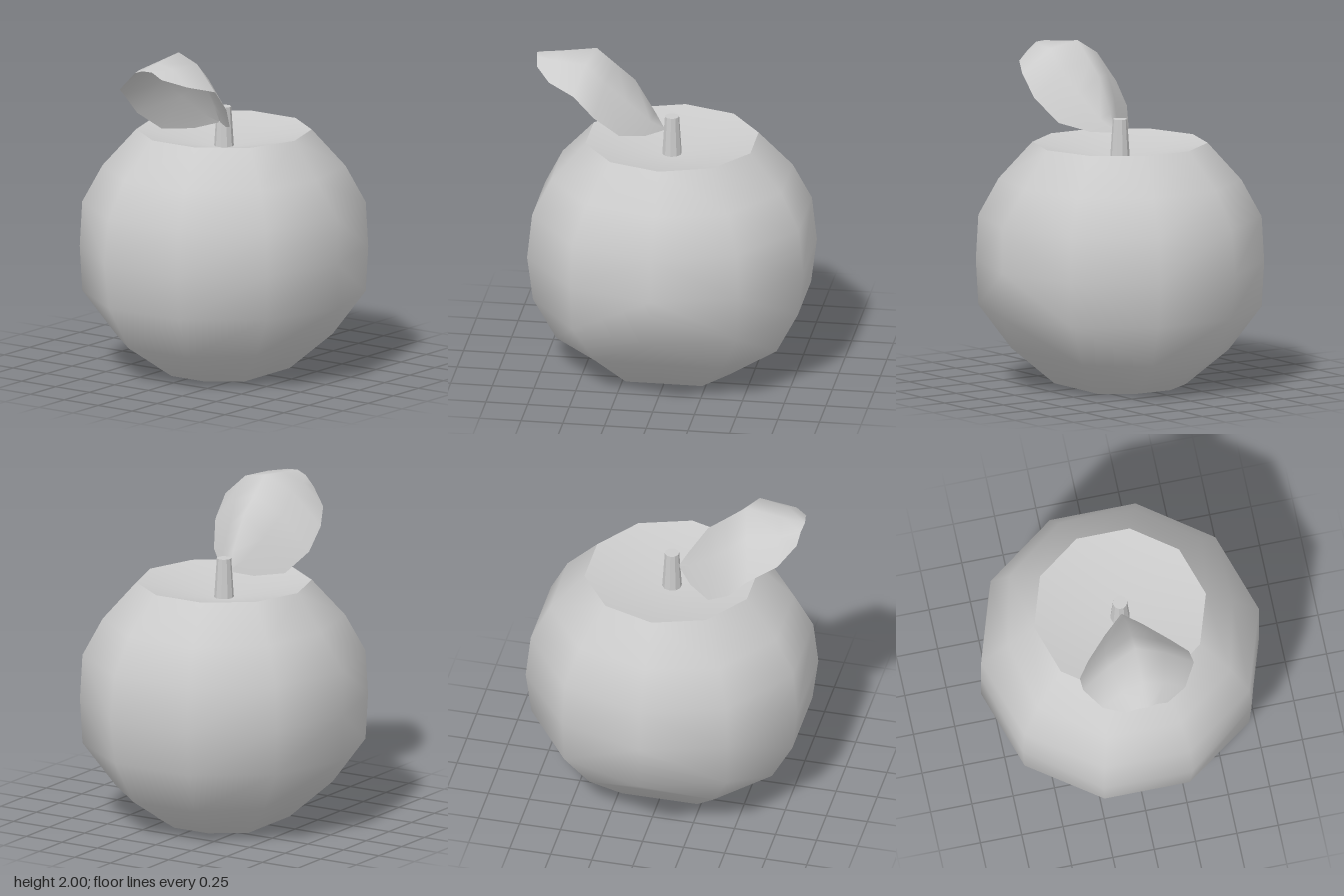
import * as THREE from 'three';

const SIDES = 10;

function gridMesh(name, points, index, side = THREE.FrontSide) {
  const geometry = new THREE.BufferGeometry();
  geometry.setAttribute('position', new THREE.Float32BufferAttribute(points.flat(), 3));
  geometry.setIndex(index);
  geometry.computeVertexNormals();
  const mesh = new THREE.Mesh(geometry, new THREE.MeshStandardMaterial({ color: 0xcccccc, side }));
  mesh.name = name;
  return mesh;
}

// point on a ten-sided ring; the columns sit at 18, 54, 90 ... degrees
function ringPoint(i, radius, y) {
  const a = THREE.MathUtils.degToRad(18 + 36 * i);
  return [radius * Math.cos(a), y, radius * Math.sin(a)];
}

// Fruit body: rings of [height, radius at 18, 54 and 90 degrees], mirrored around
function createBody() {
  const rings = [
    [1.45, 0.52, 0.52, 0.52],
    [1.23, 0.725, 0.72, 0.68],
    [1.01, 0.84, 0.84, 0.84],
    [0.74, 0.87, 0.855, 0.84],
    [0.47, 0.835, 0.84, 0.84],
    [0.21, 0.694, 0.645, 0.52],
    [0, 0.38, 0.39, 0.315],
  ];
  const points = [], index = [];
  for (const [y, ...radii] of rings) {
    for (let i = 0; i < SIDES; i++) points.push(ringPoint(i, radii[2 - Math.abs(2 - (i % 5))], y));
  }
  const last = (rings.length - 1) * SIDES;
  for (let j = 0; j < last; j += SIDES) {
    for (let i = 0; i < SIDES; i++) {
      const a = j + i, b = j + (i + 1) % SIDES, c = a + SIDES, d = b + SIDES;
      // mirror the diagonals about the front and back columns
      if (i % 5 < 2) index.push(a, b, c, b, d, c);
      else index.push(a, b, d, a, d, c);
    }
  }
  // flat base
  points.push([0, 0, 0]);
  for (let i = 0; i < SIDES; i++) index.push(last + i, last + (i + 1) % SIDES, points.length - 1);
  return gridMesh('body', points, index);
}

// Shallow cone sunk into the top, sharing the rim outline
function createDimple() {
  const points = [[0, 1.34, 0]], index = [];
  for (let i = 0; i < SIDES; i++) {
    points.push(ringPoint(i, 0.52, 1.45));
    index.push(0, 1 + (i + 1) % SIDES, 1 + i);
  }
  return gridMesh('dimple', points, index);
}

// Tapered stem
function createStem() {
  const material = new THREE.MeshStandardMaterial({ color: 0xcccccc, flatShading: true });
  const stem = new THREE.Mesh(new THREE.CylinderGeometry(0.043, 0.06, 0.26, SIDES), material);
  stem.position.y = 1.46;
  stem.name = 'stem';
  return stem;
}

// Arched leaf: cross-sections of [ridge x, ridge y, edge x, edge y, half width]
function createLeaf() {
  const sections = [
    [-0.04, 1.5, -0.04, 1.5, 0],
    [-0.1, 1.61, -0.14, 1.485, 0.12],
    [-0.22, 1.81, -0.28, 1.51, 0.25],
    [-0.33, 1.9, -0.42, 1.635, 0.33],
    [-0.45, 2.0, -0.54, 1.765, 0.335],
    [-0.66, 1.97, -0.7, 1.825, 0.25],
    [-0.81, 1.95, -0.79, 1.89, 0.125],
  ];
  const points = [], index = [];
  for (const [rx, ry, ex, ey, w] of sections) {
    for (let k = -2; k <= 2; k++) {
      const t = Math.abs(k) / 2;
      const bulge = 4 * t * (1 - t) * 0.15 * w;
      const tilt = 0.08 * w * k; // the front edge is lifted slightly
      points.push([rx + (ex - rx) * t, ry + (ey - ry) * t + bulge + tilt, w * k / 2]);
    }
  }
  for (let j = 0; j < sections.length - 1; j++) {
    for (let k = 0; k < 4; k++) {
      const a = j * 5 + k, b = a + 1, c = a + 5, d = a + 6;
      if (j > 0) index.push(a, c, b);
      index.push(b, c, d);
    }
  }
  // wind the faces so their fronts look upward
  for (let i = 0; i < index.length; i += 3) [index[i + 1], index[i + 2]] = [index[i + 2], index[i + 1]];
  return gridMesh('leaf', points, index, THREE.DoubleSide);
}

export function createModel() {
  const model = new THREE.Group();
  model.name = 'fruit';
  model.add(createBody(), createDimple(), createStem(), createLeaf());
  return model;
}
